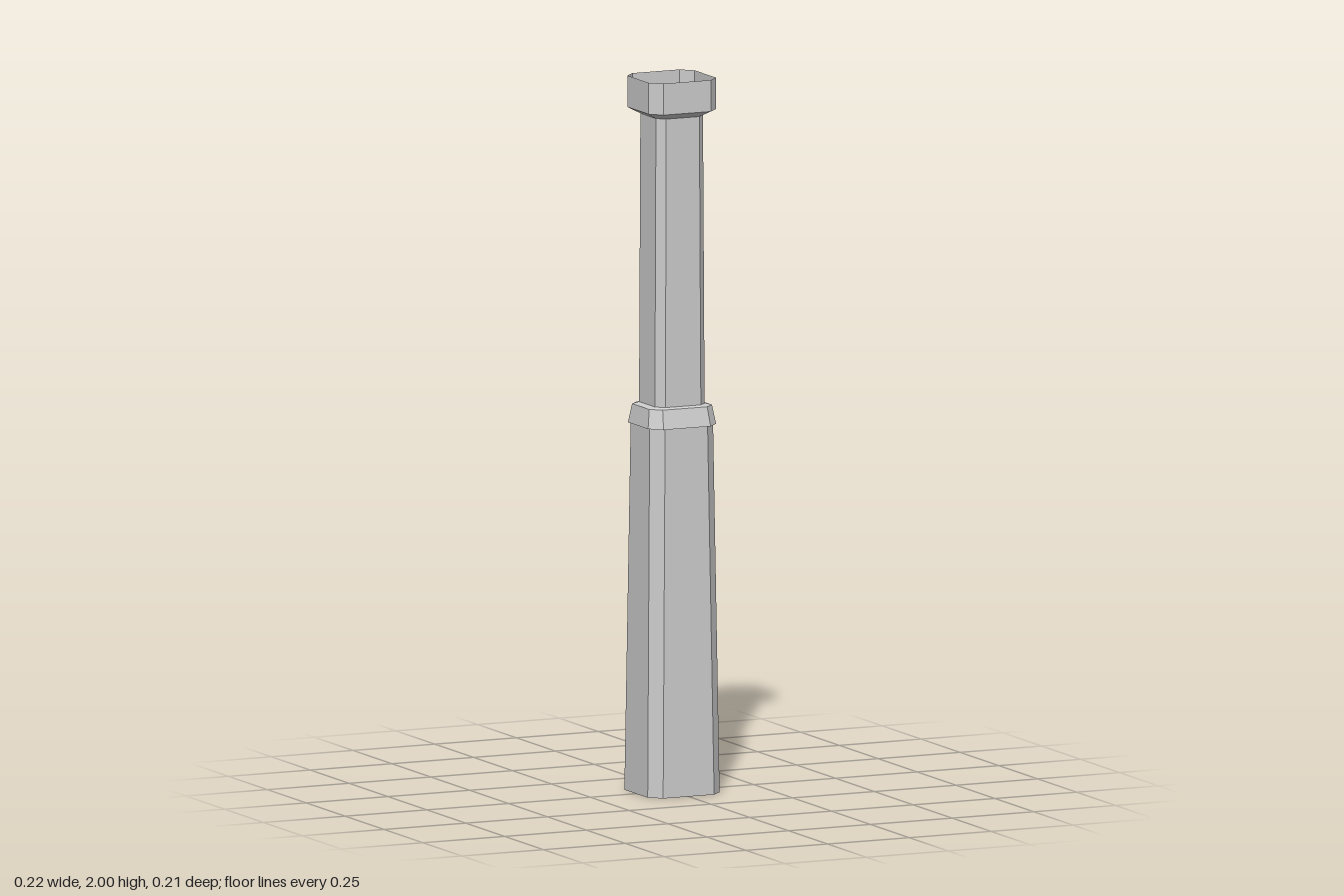
import * as THREE from 'three';

const material = new THREE.MeshStandardMaterial({
  color: 0xcccccc, flatShading: true, side: THREE.DoubleSide,
});

// Chamfered rectangle at height y: half sizes w, d, corner cut c, centre (cx, cz)
function section([y, w, d, c, cx = 0, cz = 0]) {
  return [
    [w, d - c], [w - c, d], [c - w, d], [-w, d - c],
    [-w, c - d], [c - w, -d], [w - c, -d], [w, c - d],
  ].map(([x, z]) => [x + cx, y, z + cz]);
}

// Open tube through a list of sections, from bottom to top
function loft(name, rows) {
  const rings = rows.map(section);
  const positions = [];
  for (let i = 0; i < rings.length - 1; i++) {
    for (let j = 0; j < 8; j++) {
      const k = (j + 1) % 8;
      const a = rings[i][j], b = rings[i][k];
      const c = rings[i + 1][k], d = rings[i + 1][j];
      positions.push(...a, ...d, ...c, ...a, ...c, ...b);
    }
  }
  const geometry = new THREE.BufferGeometry();
  geometry.setAttribute('position', new THREE.Float32BufferAttribute(positions, 3));
  geometry.computeVertexNormals();
  const mesh = new THREE.Mesh(geometry, material);
  mesh.name = name;
  return mesh;
}

export function createModel() {
  const group = new THREE.Group();
  group.name = 'chimneyColumn';

  // Shared joints between the parts: y, half width, half depth, chamfer, centre
  const lowerTop = [1.03, 0.097, 0.093, 0.032, 0.002, -0.005];
  const shaftBase = [1.088, 0.076, 0.073, 0.022, -0.001, 0.001];
  const shaftTop = [1.895, 0.072, 0.071, 0.021, -0.001, 0];

  group.add(
    // Tapered lower body, open underneath
    loft('lowerBody', [[0, 0.11, 0.107, 0.032], lowerTop]),
    // Sloping collar between the two bodies
    loft('collar', [
      lowerTop,
      [1.03, 0.104, 0.097, 0.032, 0, 0],
      [1.083, 0.096, 0.083, 0.028, 0, 0],
      shaftBase,
    ]),
    // Slim upper shaft
    loft('upperShaft', [shaftBase, shaftTop]),
    // Flared cap, open at the top
    loft('cap', [
      shaftTop,
      [1.912, 0.103, 0.1, 0.031, -0.001, 0],
      [2, 0.103, 0.1, 0.031, -0.001, 0],
    ]),
  );
  return group;
}
